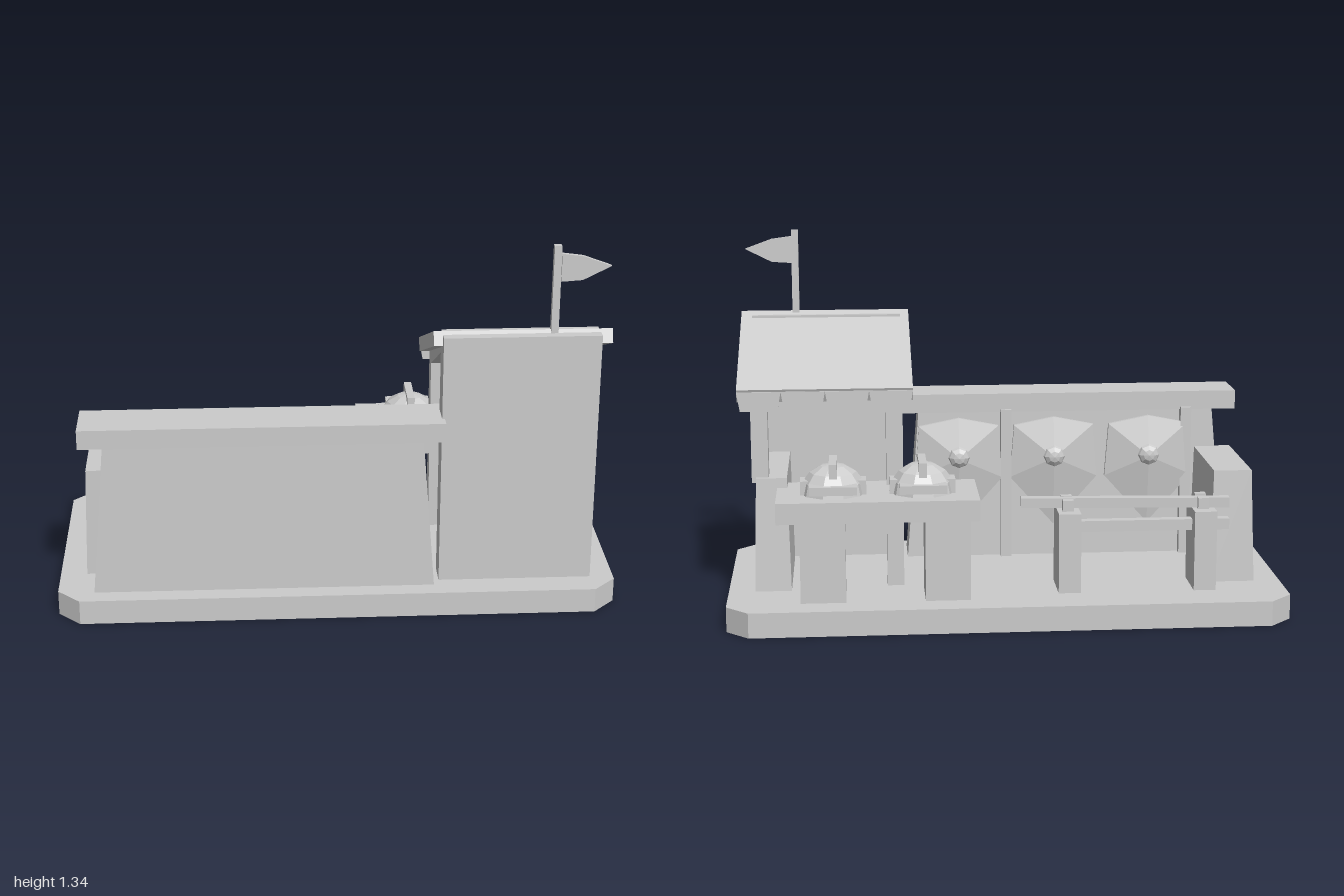
import * as THREE from 'three';

export function createModel() {
  const group = new THREE.Group();
  const stone = new THREE.MeshStandardMaterial({ color: 0xcccccc, side: THREE.DoubleSide });
  stone.name = 'plain grey';

  // Adds a named mesh with faceted normals
  function add(name, geometry, parent = group) {
    const g = geometry.index ? geometry.toNonIndexed() : geometry;
    g.computeVertexNormals();
    const mesh = new THREE.Mesh(g, stone);
    mesh.name = name;
    parent.add(mesh);
    return mesh;
  }
  // Box from its limits on each axis
  function boxGeo(x0, x1, y0, y1, z0, z1) {
    return new THREE.BoxGeometry(x1 - x0, y1 - y0, z1 - z0)
      .translate((x0 + x1) / 2, (y0 + y1) / 2, (z0 + z1) / 2);
  }
  const box = (name, x0, x1, y0, y1, z0, z1, parent) => add(name, boxGeo(x0, x1, y0, y1, z0, z1), parent);

  // Box with separate bottom and top rectangles [x0, x1, z0, z1]
  function taper(name, y0, y1, bottom, top) {
    const g = new THREE.BoxGeometry(1, 1, 1);
    const p = g.attributes.position;
    for (let i = 0; i < p.count; i++) {
      const r = p.getY(i) < 0 ? bottom : top;
      p.setXYZ(i, p.getX(i) < 0 ? r[0] : r[1], p.getY(i) < 0 ? y0 : y1, p.getZ(i) < 0 ? r[2] : r[3]);
    }
    return add(name, g);
  }
  const outline = pts => new THREE.Shape(pts.map(([x, y]) => new THREE.Vector2(x, y)));
  const extrude = (pts, depth) => new THREE.ExtrudeGeometry(outline(pts), { depth, bevelEnabled: false });
  // Extrudes a (z, y) section along x
  const section = (name, pts, x0, x1) =>
    add(name, extrude(pts, x1 - x0).rotateY(-Math.PI / 2).translate(x1, 0, 0));

  // Base: slab with cut corners, open underneath
  const plan = [
    [-0.92, 0.462], [0.92, 0.462], [1, 0.382], [1, -0.382],
    [0.92, -0.462], [-0.92, -0.462], [-1, -0.382], [-1, 0.382],
  ];
  const sides = [];
  plan.forEach(([ax, az], i) => {
    const [bx, bz] = plan[(i + 1) % plan.length];
    sides.push(ax, 0, az, bx, 0, bz, bx, 0.09, bz, ax, 0, az, bx, 0.09, bz, ax, 0.09, az);
  });
  const skirt = new THREE.BufferGeometry();
  skirt.setAttribute('position', new THREE.Float32BufferAttribute(sides, 3));
  add('baseSides', skirt);
  add('baseTop', new THREE.ShapeGeometry(outline(plan)).rotateX(-Math.PI / 2).translate(0, 0.09, 0));

  // Long wall with cap and low side walls
  taper('longWall', 0.09, 0.65, [-0.87, 0.345, 0.23, 0.397], [-0.82, 0.3, 0.243, 0.388]);
  box('wallCap', -0.905, 0.375, 0.65, 0.72, 0.22, 0.405);
  taper('lowWallRight', 0.09, 0.5, [-0.905, -0.742, -0.2, 0.25], [-0.893, -0.755, -0.176, 0.25]);
  taper('lowWallLeft', 0.09, 0.5, [0.775, 0.905, -0.197, 0.28], [0.785, 0.895, -0.17, 0.28]);
  for (const x of [-0.715, -0.03]) box('wallBatten', x - 0.02, x + 0.02, 0.09, 0.66, 0.203, 0.26);

  // Booth: tall front wall, posts, beams and sloping roof
  box('boothFrontWall', 0.365, 0.915, 0.09, 1.02, 0.27, 0.362);
  box('boothPost', 0.37, 0.43, 0.09, 0.8, -0.155, -0.09);
  box('boothPost', 0.85, 0.91, 0.48, 0.8, -0.155, -0.09);
  box('crossBeam', 0.43, 0.85, 0.75, 0.8, -0.145, -0.1);
  for (const x of [0.37, 0.85])
    section('rafter', [[0.28, 0.945], [0.28, 0.97], [-0.1, 0.81], [-0.1, 0.75]], x, x + 0.06);
  section('roof', [[0.342, 0.985], [0.32, 1.032], [-0.184, 0.823], [-0.163, 0.775]], 0.333, 0.956);

  // Hanging tabs along the low roof edge
  const tabs = 4, pitch = 0.623 / tabs;
  for (let i = 0; i < tabs; i++) {
    const x = 0.333 + pitch * i;
    add('roofTab', extrude([
      [x + 0.012, 0.745], [x + pitch - 0.012, 0.745], [x + pitch, 0.815], [x, 0.815],
    ], 0.03).translate(0, 0, -0.186));
  }

  // Flag
  box('flagPole', 0.74, 0.766, 0.98, 1.335, 0.304, 0.329);
  add('flag', extrude([
    [0.766, 1.21], [0.84, 1.215], [0.938, 1.264], [0.84, 1.3], [0.766, 1.31],
  ], 0.016).translate(0, 0, 0.321));

  // Table with legs and joists
  box('tableTop', 0.11, 0.82, 0.39, 0.465, -0.412, -0.09);
  for (const [x0, x1] of [[0.14, 0.3], [0.58, 0.74]]) box('tableLeg', x0, x1, 0.09, 0.39, -0.36, -0.19);
  for (const x of [0.22, 0.44, 0.66]) box('tableJoist', x - 0.025, x + 0.025, 0.36, 0.39, -0.34, -0.12);

  // Helmets
  for (const x of [0.306, 0.62]) {
    const helmet = new THREE.Group();
    helmet.name = 'helmet';
    helmet.position.set(x, 0.465, -0.25);
    group.add(helmet);
    add('dome', new THREE.SphereGeometry(0.117, 10, 4, 0, Math.PI * 2, 0, Math.PI / 2).scale(1, 0.9, 1), helmet);
    box('crest', -0.014, 0.014, 0.04, 0.117, -0.085, 0.076, helmet);
    box('visor', -0.083, 0.083, 0.015, 0.045, -0.122, 0.03, helmet);
    for (const s of [-1, 1]) box('cheekGuard', s * 0.1 - 0.016, s * 0.1 + 0.016, 0, 0.05, -0.045, 0.025, helmet);
  }

  // Shields on the inner face of the long wall
  const rim = [[0, 0.63], [0.15, 0.6], [0.165, 0.4], [0, 0.215], [-0.165, 0.4], [-0.15, 0.6]];
  for (const x of [-0.57, -0.21, 0.15]) {
    const pts = [];
    rim.forEach(([ax, ay], i) => {
      const [bx, by] = rim[(i + 1) % rim.length];
      // sloping face, rim edge and flat back
      const A = [ax, ay, 0.207], B = [bx, by, 0.207], C = [ax, ay, 0.222], D = [bx, by, 0.222];
      pts.push(...A, ...B, 0, 0.48, 0.17, ...A, ...C, ...D, ...A, ...D, ...B, ...D, ...C, 0, 0.48, 0.222);
    });
    const g = new THREE.BufferGeometry();
    g.setAttribute('position', new THREE.Float32BufferAttribute(pts, 3));
    add('shield', g).position.x = x;
    add('shieldBoss', new THREE.SphereGeometry(0.042, 8, 3, 0, Math.PI * 2, 0, Math.PI / 2)
      .scale(1, 0.65, 1).rotateX(-Math.PI / 2)).position.set(x, 0.485, 0.182);
  }

  // Rack with posts, prongs, rail and a resting pole
  for (const x of [-0.705, -0.217]) {
    box('rackPost', x - 0.04, x + 0.04, 0.09, 0.38, -0.305, -0.13);
    for (const z of [-0.25, -0.18]) box('rackProng', x - 0.018, x + 0.022, 0.38, 0.42, z - 0.014, z + 0.014);
  }
  box('rackRail', -0.8, -0.217, 0.3, 0.34, -0.25, -0.215);
  const pole = box('restingPole', -0.375, 0.375, -0.018, 0.018, -0.018, 0.018);
  pole.position.set(-0.425, 0.4, -0.213);
  pole.rotation.y = -0.062;

  return group;
}
